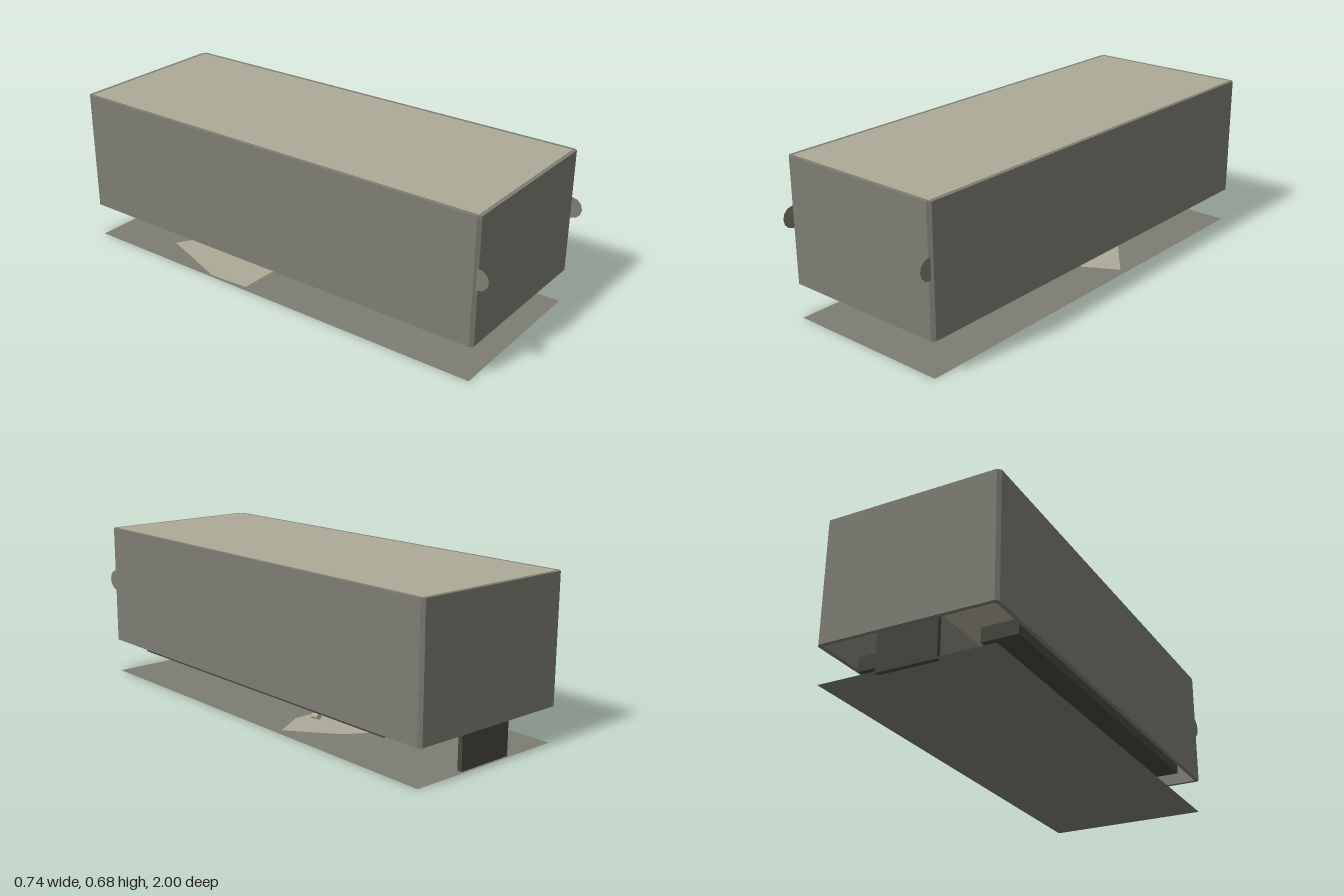
import * as THREE from 'three';

const material = (name, color, side = THREE.FrontSide) =>
  Object.assign(new THREE.MeshStandardMaterial({ color, side }), { name });

// Rectangle outline with cut corners, drawn in x and -z
function cutRectangle(Type, halfX, back, front, cut) {
  const outline = new Type();
  const corners = [
    [-halfX + cut, -front], [halfX - cut, -front], [halfX, -front + cut], [halfX, -back - cut],
    [halfX - cut, -back], [-halfX + cut, -back], [-halfX, -back - cut], [-halfX, -front + cut],
  ];
  corners.forEach(([x, y], i) => (i ? outline.lineTo(x, y) : outline.moveTo(x, y)));
  outline.closePath();
  return outline;
}

export function createModel() {
  const model = new THREE.Group();
  model.name = 'boxBody';
  const grey = material('warm grey', 0x7d7d73);
  const greySheet = grey;
  grey.side = THREE.DoubleSide;
  const tan = material('pale tan', 0xaeaa98);
  const dark = material('dark olive grey', 0x45453f);

  const add = (name, geometry, mat, x = 0, y = 0, z = 0) => {
    const mesh = new THREE.Mesh(geometry, mat);
    mesh.name = name;
    mesh.position.set(x, y, z);
    model.add(mesh);
    return mesh;
  };

  // Hollow walls, open underneath
  const bottom = 0.152, top = 0.675, back = -1, front = 0.955;
  const outline = cutRectangle(THREE.Shape, 0.37, back, front, 0.013);
  outline.holes.push(cutRectangle(THREE.Path, 0.352, back + 0.018, front - 0.018, 0.008));
  const walls = new THREE.ExtrudeGeometry(outline, { depth: top - bottom, bevelEnabled: false });
  add('walls', walls.rotateX(-Math.PI / 2), grey, 0, bottom, 0);

  // Roof panel set flush inside the walls
  const middle = (back + front) / 2;
  add('roof', new THREE.BoxGeometry(0.708, 0.02, front - back - 0.032), tan, 0, top - 0.0095, middle);

  // Flat ground sheet with a pale patch
  const sheet = new THREE.PlaneGeometry(0.72, 1.93).rotateX(-Math.PI / 2);
  add('baseSheet', sheet, greySheet, 0, 0.0005, -0.02);
  const patch = new THREE.Shape();
  [[0.33, 0.21], [0.19, 0.13], [-0.34, 0.15], [-0.35, 0.33], [-0.23, 0.66], [0.18, 0.4]]
    .forEach(([x, y], i) => (i ? patch.lineTo(x, y) : patch.moveTo(x, y)));
  add('basePatch', new THREE.ShapeGeometry(patch).rotateX(-Math.PI / 2), tan, 0, 0.002, 0);

  // Mirrored side parts
  for (const side of [-1, 1]) {
    add('underRail', new THREE.BoxGeometry(0.152, 0.06, 1.54), dark, side * 0.261, 0.159, -0.02);
    add('frontDisc', new THREE.CircleGeometry(0.045, 12).rotateY(Math.PI / 2), grey, side * 0.362, 0.43, 0.955);
  }

  // Plate hanging at the rear
  add('rearPlate', new THREE.BoxGeometry(0.25, 0.25, 0.02), dark, 0, 0.125, -0.965);

  // Small peg lying near the ground
  const peg = new THREE.CylinderGeometry(0.012, 0.012, 0.038, 8).rotateX(Math.PI / 2);
  add('peg', peg, tan, 0.137, 0.015, -0.195).rotation.x = 0.1;

  return model;
}
